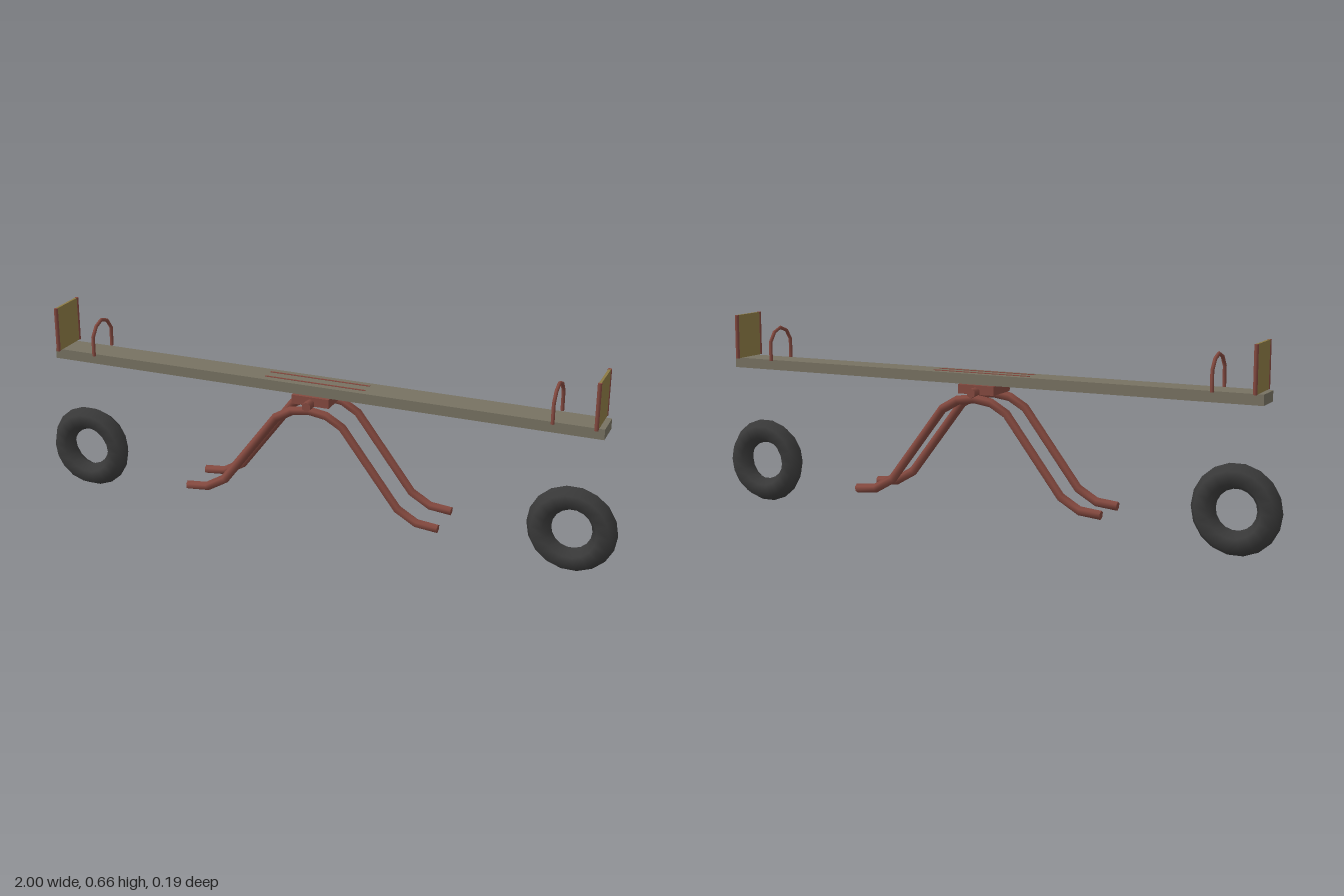
import * as THREE from 'three';

const mat = (name, color) => Object.assign(new THREE.MeshStandardMaterial({ color }), { name });

// Sweeps a regular polygon along a planar path with mitred bends and closed ends.
function sweep(path, axis, radius, sides = 6) {
  const pos = [], idx = [];
  const ring = (p, i) => {
    const a = path[Math.max(i - 1, 0)], b = path[Math.min(i + 1, path.length - 1)];
    const inDir = p.clone().sub(a).normalize(), outDir = b.clone().sub(p).normalize();
    const t = inDir.clone().add(outDir).normalize();
    const m = t.clone().cross(axis);
    const miter = 1 / Math.max(t.dot(i ? inDir : outDir), 0.5);
    for (let s = 0; s < sides; s++) {
      const ang = (s + 0.5) / sides * Math.PI * 2;
      const v = p.clone().addScaledVector(axis, radius * Math.cos(ang))
        .addScaledVector(m, radius * miter * Math.sin(ang));
      pos.push(v.x, v.y, v.z);
    }
  };
  path.forEach(ring);
  for (let i = 0; i < path.length - 1; i++) {
    for (let s = 0; s < sides; s++) {
      const n = (s + 1) % sides, a = i * sides, b = a + sides;
      idx.push(a + s, a + n, b + s, a + n, b + n, b + s);
    }
  }
  // End caps on their own rings so the edges stay sharp
  const first = path.length * sides, last = first + sides;
  ring(path[0], 0);
  ring(path[path.length - 1], path.length - 1);
  for (let s = 1; s < sides - 1; s++) {
    idx.push(first, first + s + 1, first + s, last, last + s, last + s + 1);
  }
  const g = new THREE.BufferGeometry();
  g.setAttribute('position', new THREE.Float32BufferAttribute(pos, 3));
  g.setIndex(idx);
  g.computeVertexNormals();
  return g;
}

export function createModel() {
  const model = new THREE.Group();
  model.name = 'seesaw';
  const wood = mat('weathered wood', 0x777262);
  const red = mat('faded red paint', 0x84493f);
  const olive = mat('olive board', 0x8c7a45);
  const rubber = mat('black rubber', 0x3a3a3a);

  const add = (name, geometry, material, x = 0, y = 0, z = 0) => {
    const mesh = new THREE.Mesh(geometry, material);
    mesh.name = name;
    mesh.position.set(x, y, z);
    model.add(mesh);
    return mesh;
  };
  const box = (w, h, d) => new THREE.BoxGeometry(w, h, d);
  const V = (x, y, z) => new THREE.Vector3(x, y, z);

  // Plank with its pivot bracket and axle
  add('plank', box(1.886, 0.034, 0.096), wood, 0, 0.495, 0);
  add('pivotBracket', box(0.128, 0.03, 0.12), red, 0, 0.463, 0);
  add('axle', new THREE.CylinderGeometry(0.016, 0.016, 0.188, 6), red, 0, 0.456, 0)
    .rotation.x = Math.PI / 2;

  // Bent tube legs, mirrored in x around the crown
  const half = [[0.443, 0.1], [0.37, 0.107], [0.305, 0.145], [0.115, 0.395], [0.06, 0.427]];
  const legPath = [
    ...half.map(([x, y]) => V(-x, y, 0)), V(0, 0.436, 0),
    ...half.slice().reverse().map(([x, y]) => V(x, y, 0)),
  ];
  const legGeometry = sweep(legPath, V(0, 0, 1), 0.015);

  // Handle hoop
  const hoop = [[-0.06, 0.51], [-0.06, 0.575], [-0.036, 0.607], [0, 0.62],
    [0.036, 0.607], [0.06, 0.575], [0.06, 0.51]].map(([z, y]) => V(0, y, z));
  const hoopGeometry = sweep(hoop, V(1, 0, 0), 0.006);

  const tyreGeometry = new THREE.TorusGeometry(0.105, 0.04, 6, 18);
  const postGeometry = new THREE.CylinderGeometry(0.0068, 0.0068, 0.15, 6);

  for (const s of [-1, 1]) {
    add('leg', legGeometry, red, 0, 0, s * 0.07);
    add('plankStrip', box(0.346, 0.003, 0.006), red, 0, 0.5125, s * 0.021);

    // Seat end: backrest, posts, handle and the tyre below
    add('backrest', box(0.008, 0.15, 0.124), olive, s * 0.921, 0.587, 0);
    for (const z of [-0.066, 0.066]) add('backrestPost', postGeometry, red, s * 0.921, 0.587, z);
    add('handle', hoopGeometry, red, s * 0.787, 0, 0);
    add('tyre', tyreGeometry, rubber, s * 0.855, 0.147, 0);
  }
  return model;
}
